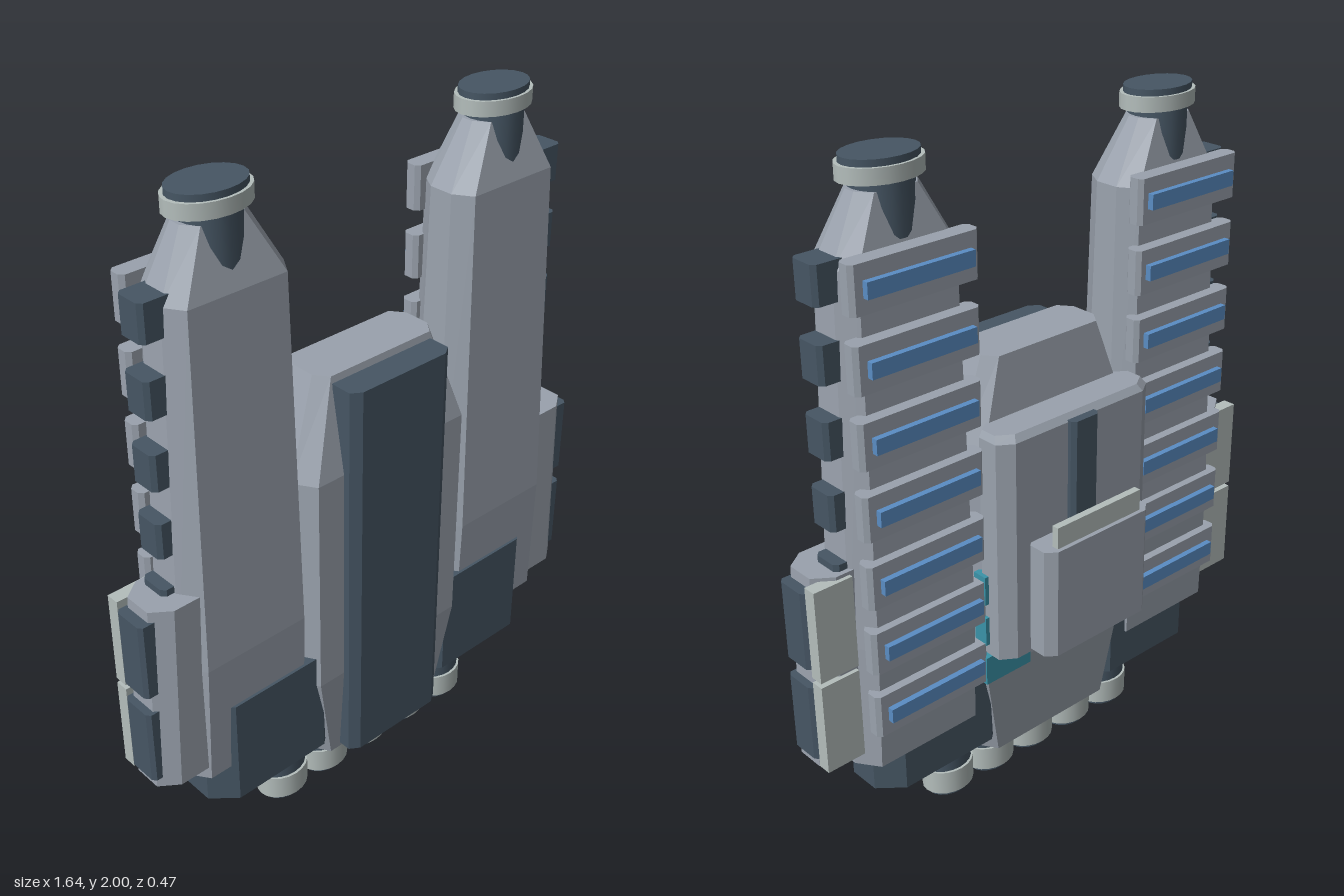
import * as THREE from 'three';

const paint = (name, color) => {
  const m = new THREE.MeshStandardMaterial({ color });
  m.name = name;
  return m;
};

// Lofts chamfered-rectangle sections [y, x0, x1, z0, z1, chamferX, chamferZ]; side -1 mirrors in x.
function loft(sections, side = 1) {
  const rings = sections.map(([y, a, b, z0, z1, cx, cz]) => {
    const [x0, x1] = side > 0 ? [a, b] : [-b, -a];
    return [
      [x1, y, z1 - cz], [x1, y, z0 + cz], [x1 - cx, y, z0], [x0 + cx, y, z0],
      [x0, y, z0 + cz], [x0, y, z1 - cz], [x0 + cx, y, z1], [x1 - cx, y, z1],
    ];
  });
  const pos = [];
  const tri = (...pts) => pts.forEach((p) => pos.push(...p));
  for (let r = 0; r < rings.length - 1; r++) {
    const lo = rings[r], hi = rings[r + 1];
    for (let i = 0; i < 8; i++) {
      const j = (i + 1) % 8;
      tri(lo[i], lo[j], hi[j]);
      tri(lo[i], hi[j], hi[i]);
    }
  }
  const bottom = rings[0], top = rings[rings.length - 1];
  for (let i = 1; i < 7; i++) {
    tri(top[0], top[i], top[i + 1]);
    tri(bottom[0], bottom[i + 1], bottom[i]);
  }
  const g = new THREE.BufferGeometry();
  g.setAttribute('position', new THREE.Float32BufferAttribute(pos, 3));
  g.computeVertexNormals();
  return g;
}

export function createModel() {
  const model = new THREE.Group();
  model.name = 'twinHullShip';
  const hull = paint('hullGrey', 0x9aa2ad);
  const dark = paint('darkSlate', 0x465664);
  const light = paint('paleMetal', 0xb4bebc);
  const blue = paint('panelBlue', 0x5a8dc4);
  const teal = paint('teal', 0x3a93a8);

  const add = (name, geometry, material) => {
    const mesh = new THREE.Mesh(geometry, material);
    mesh.name = name;
    model.add(mesh);
    return mesh;
  };
  // Box given by its limits, mirrored in x when side is -1
  const box = (name, mat, side, x0, x1, y0, y1, z0, z1) =>
    add(name, new THREE.BoxGeometry(x1 - x0, y1 - y0, z1 - z0), mat)
      .position.set(side * (x0 + x1) / 2, (y0 + y1) / 2, (z0 + z1) / 2);
  // Straight prism with chamfered upright edges
  const prism = (name, mat, side, x0, x1, y0, y1, z0, z1, cx, cz) =>
    add(name, loft([[y0, x0, x1, z0, z1, cx, cz], [y1, x0, x1, z0, z1, cx, cz]], side), mat);
  // Upright elliptical drum
  const drum = (name, mat, x, z, y0, y1, rx, rz) => {
    const mesh = add(name, new THREE.CylinderGeometry(1, 1, y1 - y0, 20), mat);
    mesh.scale.set(rx, 1, rz);
    mesh.position.set(x, (y0 + y1) / 2, z);
  };

  // Central hull and its front spine
  add('centralHull', loft([
    [0.125, -0.245, 0.245, -0.025, 0.175, 0.03, 0.05],
    [0.43, -0.31, 0.31, -0.045, 0.195, 0.04, 0.065],
    [1.12, -0.31, 0.31, -0.045, 0.195, 0.04, 0.065],
    [1.4, -0.21, 0.21, -0.015, 0.145, 0.03, 0.04],
  ]), hull);
  prism('frontSpine', dark, 1, -0.18, 0.18, 0.14, 1.38, 0.13, 0.235, 0.03, 0.02);

  // Stacked plates on the back
  add('backPlate', loft([
    [0.53, -0.285, 0.285, -0.145, -0.02, 0.045, 0.03],
    [1.21, -0.285, 0.285, -0.145, -0.02, 0.045, 0.03],
    [1.23, -0.275, 0.275, -0.13, -0.02, 0.045, 0.03],
  ]), hull);
  prism('backSlot', dark, 1, -0.05, 0.05, 0.8, 1.215, -0.168, -0.13, 0.012, 0.012);
  prism('backBlock', hull, 1, -0.2, 0.2, 0.55, 0.89, -0.235, -0.13, 0.03, 0.025);
  box('backBlockRail', light, 1, -0.16, 0.16, 0.885, 0.955, -0.222, -0.2);

  for (const s of [1, -1]) {
    // Side hull with tapered nose
    add('sideHull', loft([
      [0.31, 0.27, 0.7, -0.04, 0.17, 0.045, 0.065],
      [0.7, 0.27, 0.695, -0.05, 0.18, 0.045, 0.065],
      [1.75, 0.29, 0.66, -0.03, 0.155, 0.035, 0.055],
      [1.92, 0.385, 0.575, 0, 0.115, 0.03, 0.04],
    ], s), hull);

    // Nose neck, collar and cap
    drum('noseNeck', dark, s * 0.48, 0.06, 1.8, 1.945, 0.085, 0.083);
    drum('noseCollar', light, s * 0.48, 0.06, 1.94, 1.982, 0.121, 0.088);
    drum('noseCap', dark, s * 0.48, 0.06, 1.97, 2, 0.11, 0.08);

    // Engine housing at the foot
    prism('engineHousing', dark, s, 0.18, 0.64, 0.185, 0.53, -0.035, 0.184, 0.07, 0.06);

    // Back fins with blue inlays
    for (let i = 0; i < 7; i++) {
      const y = 1.727 - i * 0.2037;
      prism('backFin', hull, s, 0.285, 0.68, y - 0.065, y + 0.065, -0.072, -0.02, 0.012, 0.012);
      box('finInlay', blue, s, 0.315, 0.645, y - 0.022, y + 0.022, -0.09, -0.07);
    }

    // Outer side studs
    for (let i = 0; i < 5; i++) {
      const y = 1.727 - i * 0.2037;
      prism('sideStud', dark, s, 0.62, 0.722, y - 0.053, y + 0.053, 0.015, 0.106, 0.012, 0.012);
    }

    // Outrigger with side panels and rear plates
    add('outrigger', loft([
      [0.35, 0.58, 0.807, 0, 0.165, 0.055, 0.04],
      [0.945, 0.58, 0.787, 0, 0.165, 0.055, 0.04],
    ], s), hull);
    for (const y of [0.5, 0.795]) {
      prism('outriggerPanel', dark, s, 0.76, 0.82, y - 0.118, y + 0.118, 0.03, 0.135, 0.01, 0.012);
      box('outriggerRearPlate', light, s, 0.69, 0.812, y - 0.14, y + 0.14, -0.012, 0.028);
    }

    // Teal vents beside and below the back plate
    for (const y of [0.475, 0.61, 0.745])
      box('tealVent', teal, s, 0.13, 0.298, y - 0.045, y + 0.045, -0.077, -0.03);
  }

  // Row of five engines
  for (let i = -2; i <= 2; i++) {
    const x = i * 0.165;
    drum('engineBody', dark, x, 0.08, 0.085, 0.25, 0.078, 0.06);
    drum('engineRing', light, x, 0.08, 0.015, 0.092, 0.083, 0.068);
    drum('engineNozzle', dark, x, 0.08, 0, 0.03, 0.07, 0.056);
  }

  return model;
}
